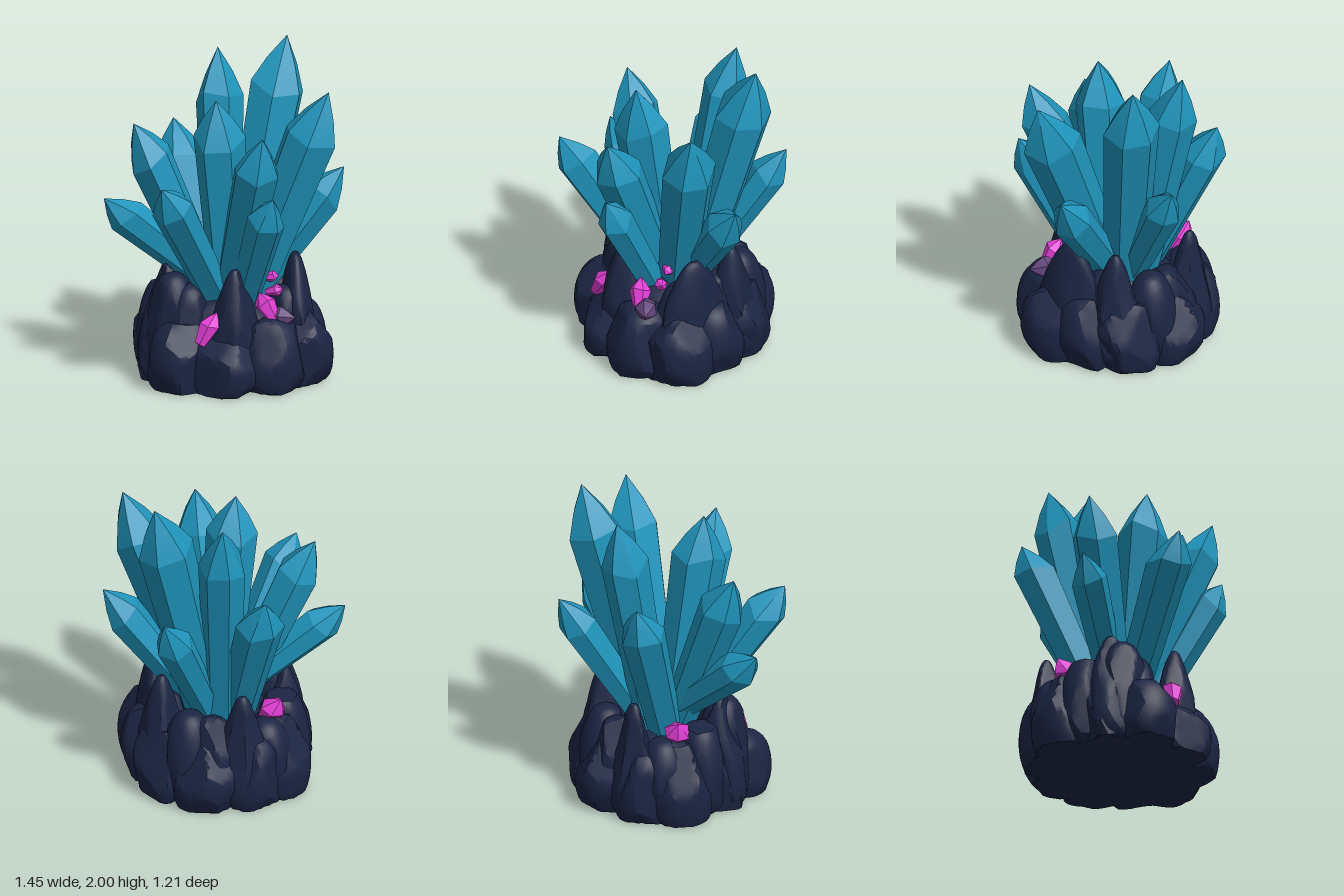
import * as THREE from 'three';
import { toCreasedNormals } from 'three/addons/utils/BufferGeometryUtils.js';

const material = (name, color) => {
  const m = new THREE.MeshStandardMaterial({ color });
  m.name = name;
  return m;
};

// Small seeded generator
function seeded(seed) {
  let s = (seed * 7919 + 17) % 233280;
  const next = () => (s = (s * 9301 + 49297) % 233280) / 233280;
  for (let i = 0; i < 5; i++) next();
  return next;
}

// Six-sided crystal growing from base to tip, widest at an uneven shoulder
function crystal(name, mat, base, tip, radius, seed, foot = 0.76, shoulder = 0.8) {
  const a = new THREE.Vector3(...base), b = new THREE.Vector3(...tip);
  const dir = b.clone().sub(a), length = dir.length(), rnd = seeded(seed);
  const profile = [
    [0, 0], [radius * foot, 0.02 * length], [radius, shoulder * length],
    [radius * 0.58, (shoulder + 1) / 2 * length], [0, length],
  ].map(p => new THREE.Vector2(...p));
  const geo = new THREE.LatheGeometry(profile, 6);
  const lift = [], swell = [];
  for (let i = 0; i < 6; i++) {
    lift.push((rnd() - 0.5) * radius * 0.6);
    swell.push(0.94 + rnd() * 0.14);
  }
  const pos = geo.attributes.position;
  for (let i = 0; i < pos.count; i++) {
    const side = Math.floor(i / 5) % 6, row = i % 5;
    const y = pos.getY(i) + (row === 2 ? lift[side] : row === 3 ? lift[side] / 2 : 0);
    pos.setXYZ(i, pos.getX(i) * swell[side], y, pos.getZ(i) * swell[side]);
  }
  geo.rotateY(rnd() * Math.PI);
  const mesh = new THREE.Mesh(toCreasedNormals(geo, 0.3), mat);
  mesh.name = name;
  mesh.position.copy(a);
  mesh.quaternion.setFromUnitVectors(new THREE.Vector3(0, 1, 0), dir.normalize());
  return mesh;
}

// Chiselled boulder: a barrel-like ball cut by planes, optionally tapered to a spike, flat on the ground
function rock(name, mat, [x, y, z], [rx, ry, rz], seed, taper = 0) {
  const rnd = seeded(seed), planes = [];
  for (let i = 0; i < 14; i++) {
    const n = new THREE.Vector3(rnd() - 0.5, (rnd() - 0.5) * (taper ? 0.3 : 0.9), rnd() - 0.5).normalize();
    planes.push({ n, d: 0.8 + rnd() * 0.15 });
  }
  const geo = new THREE.IcosahedronGeometry(1, 6);
  const pos = geo.attributes.position, v = new THREE.Vector3();
  for (let i = 0; i < pos.count; i++) {
    v.fromBufferAttribute(pos, i);
    const barrel = Math.pow(Math.max(Math.hypot(v.x, v.z), 0.01), -0.3);
    v.x *= barrel;
    v.z *= barrel;
    let r = 1;
    for (const { n, d } of planes) {
      const c = n.dot(v);
      if (c > 0) r = Math.min(r, d / c);
    }
    v.multiplyScalar(r);
    const t = 1 - taper * (v.y + 1) / 2;
    pos.setXYZ(i, x + v.x * rx * t, Math.max(0, y + v.y * ry), z + v.z * rz * t);
  }
  const mesh = new THREE.Mesh(toCreasedNormals(geo, 0.4), mat);
  mesh.name = name;
  return mesh;
}

export function createModel() {
  const model = new THREE.Group();
  model.name = 'crystalCluster';
  const teal = material('teal crystal', 0x1f94bb);
  const stone = material('dark blue stone', 0x1b2543);
  const pink = material('pink crystal', 0xe23fd6);
  const purple = material('dull purple crystal', 0x5f4278);

  // Large crystals: base, tip, radius
  const crystals = new THREE.Group();
  crystals.name = 'largeCrystals';
  [
    ['tallestCrystal', [0.1, 0.45, -0.07], [0.41, 2.0, -0.33], 0.17],
    ['backCrystal', [0, 0.45, -0.12], [0, 1.91, -0.42], 0.145],
    ['rightCrystal', [0.12, 0.45, 0.05], [0.61, 1.8, 0.22], 0.17],
    ['centreCrystal', [0.03, 0.45, 0.08], [-0.07, 1.77, 0.23], 0.16],
    ['leftCrystal', [-0.06, 0.45, 0.02], [-0.55, 1.58, 0.03], 0.14],
    ['frontLeftCrystal', [-0.03, 0.45, 0.11], [-0.43, 1.32, 0.56], 0.13],
    ['frontTallCrystal', [0.02, 0.45, 0.1], [0.18, 1.62, 0.56], 0.145],
    ['frontSmallCrystal', [0.09, 0.45, 0.2], [0.24, 1.25, 0.6], 0.115],
    ['farRightCrystal', [0.12, 0.45, -0.01], [0.725, 1.26, -0.02], 0.12],
    ['farLeftCrystal', [-0.04, 0.54, 0], [-0.73, 1.12, 0.05], 0.11],
    ['backRightCrystal', [0.08, 0.45, -0.1], [0.35, 1.33, -0.57], 0.115],
    ['backLeftCrystal', [-0.08, 0.45, -0.1], [-0.26, 1.45, -0.5], 0.14],
  ].forEach(([name, base, tip, r], i) => crystals.add(crystal(name, teal, base, tip, r, i + 3)));
  model.add(crystals);

  // Rock base: core, outer ring of boulders, inner wall, spikes
  const rocks = new THREE.Group();
  rocks.name = 'rockBase';
  rocks.add(rock('rockCore', stone, [0, 0.2, 0], [0.46, 0.36, 0.46], 2));
  [
    [0.4, 0.2, 0.24, 0.44], [0.33, -0.24, 0.22, 0.45], [0.09, -0.38, 0.22, 0.45],
    [-0.17, -0.34, 0.2, 0.45], [-0.32, -0.2, 0.21, 0.5], [-0.34, 0.08, 0.2, 0.5],
    [-0.28, 0.29, 0.22, 0.4], [-0.02, 0.39, 0.22, 0.38], [0.24, 0.35, 0.22, 0.44],
    [0.42, -0.02, 0.2, 0.45],
  ].forEach(([x, z, r, top], i) =>
    rocks.add(rock('boulder', stone, [x, top * 0.37, z], [r, top * 0.66, r], i + 20)));
  [
    [0.34, -0.08, 0.57], [0.2, -0.32, 0.57], [-0.26, -0.28, 0.5], [-0.35, -0.06, 0.58],
    [-0.32, 0.16, 0.66], [-0.23, 0.2, 0.6], [0.36, 0.16, 0.57], [0.06, -0.36, 0.55],
  ].forEach(([x, z, top], i) =>
    rocks.add(rock('wallRock', stone, [x, top / 2, z], [0.2, top / 2 + 0.02, 0.2], i + 40, 0.3)));
  [
    [0.03, 0.75, 0.37, 0.25, 0.21, 0.72], [0.42, 0.77, 0.1, 0.16, 0.32, 0.62],
    [0.37, 0.76, -0.18, 0.22, 0.24, 0.72], [-0.12, 0.74, -0.39, 0.23, 0.19, 0.7],
    [-0.35, 0.72, 0.1, 0.24, 0.25, 0.68],
  ].forEach(([x, top, z, rx, rz, taper], i) =>
    rocks.add(rock('rockSpike', stone, [x, top - 0.38, z], [rx, 0.38, rz], i + 60, taper)));
  model.add(rocks);

  // Small crystals tucked between the rocks
  const gems = new THREE.Group();
  gems.name = 'smallCrystals';
  [
    [[-0.19, 0.3, 0.44], [-0.08, 0.49, 0.39], 0.065],
    [[0.27, 0.43, 0.39], [0.18, 0.59, 0.33], 0.064],
    [[0.23, 0.56, 0.23], [0.33, 0.59, 0.27], 0.038],
    [[0.22, 0.64, 0.19], [0.31, 0.65, 0.19], 0.036],
    [[-0.24, 0.45, -0.17], [-0.35, 0.63, -0.24], 0.08],
  ].forEach(([a, b, r], i) => gems.add(crystal('pinkCrystal', pink, a, b, r, i + 80, 0.55, 0.6)));
  gems.add(crystal('purpleCrystal', purple, [0.27, 0.43, 0.34], [0.39, 0.45, 0.42], 0.07, 90, 0.9, 0.4));
  model.add(gems);
  return model;
}
